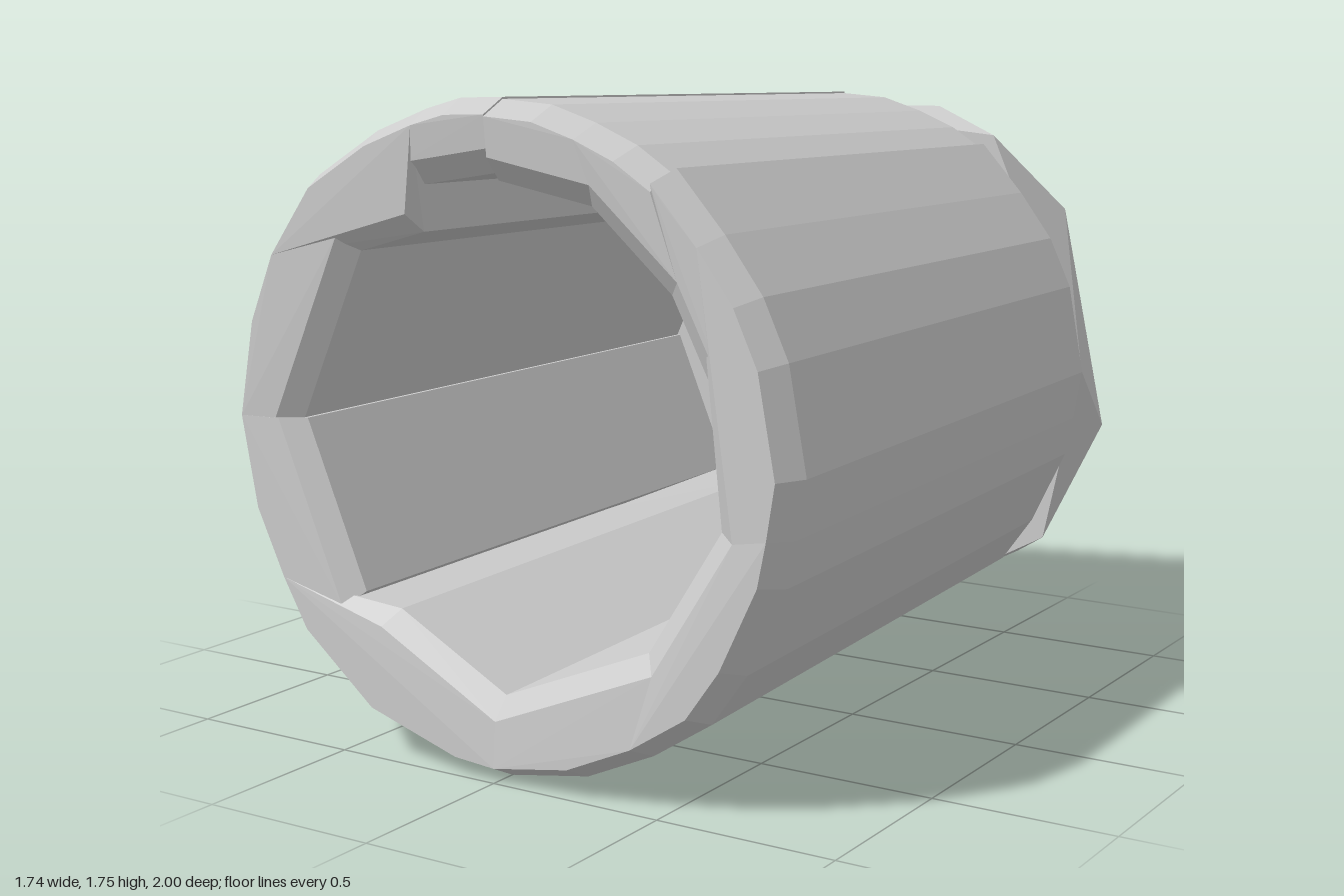
import * as THREE from 'three';
import { ConvexGeometry } from 'three/addons/geometries/ConvexGeometry.js';

const CENTRE = [0, 0.87];       // axis of the cup at its mouth
const BACK_CENTRE = [0.025, 0.885]; // axis where the wall meets the base
const TAPER = 0.928;
const WALL_BACK = -0.78;

// Move a profile point about the mouth axis and place it at depth z
function place([x, y], scale, z, to = CENTRE) {
  return new THREE.Vector3(
    to[0] + (x - CENTRE[0]) * scale,
    to[1] + (y - CENTRE[1]) * scale,
    z
  );
}

function hull(name, points, material) {
  const mesh = new THREE.Mesh(new ConvexGeometry(points), material);
  mesh.name = name;
  return mesh;
}

// One tapered stave of the wall, with a chamfered lip at the mouth
function stave(name, outer, inner, material) {
  const points = [];
  for (const p of outer) {
    points.push(place(p, 1, 0.92), place(p, 0.955, 1));
    points.push(place(p, TAPER, WALL_BACK, BACK_CENTRE));
  }
  for (const p of inner) {
    points.push(place(p, 1, 0.94), place(p, 1.09, 0.99));
    points.push(place(p, TAPER, WALL_BACK, BACK_CENTRE));
  }
  return hull(name, points, material);
}

export function createModel() {
  const group = new THREE.Group();
  group.name = 'cup';
  const material = new THREE.MeshStandardMaterial({ color: 0xcccccc, flatShading: true });

  // Wall staves around the mouth: outer arc, then inner edge
  const staves = [
    [[[0, 0], [0.24, 0.04], [0.44, 0.13]],
      [[0, 0.22], [0.44, 0.4]]],
    [[[0.44, 0.13], [0.61, 0.24], [0.71, 0.38], [0.82, 0.61], [0.845, 0.73]],
      [[0.44, 0.4], [0.65, 0.73]]],
    [[[0.845, 0.73], [0.87, 0.88], [0.82, 1.15], [0.75, 1.3], [0.645, 1.44]],
      [[0.65, 0.73], [0.65, 1.02]]],
    [[[0.645, 1.44], [0.55, 1.54], [0.51, 1.59]],
      [[0.65, 1.02], [0.51, 1.29]]],
    [[[0.51, 1.57], [0.4, 1.64], [0.28, 1.69]],
      [[0.51, 1.29], [0.28, 1.49]]],
    [[[0.28, 1.69], [0.15, 1.73], [0, 1.74]],
      [[0.28, 1.49], [0, 1.54]]],
    [[[0, 1.745], [-0.13, 1.74], [-0.24, 1.71]],
      [[0, 1.56], [-0.24, 1.52]]],
    [[[-0.24, 1.71], [-0.4, 1.65], [-0.6, 1.53], [-0.74, 1.34]],
      [[-0.24, 1.4], [-0.45, 1.34]]],
    [[[-0.74, 1.34], [-0.82, 1.15], [-0.87, 0.88]],
      [[-0.45, 1.34], [-0.66, 0.88]]],
    [[[-0.87, 0.88], [-0.82, 0.62], [-0.73, 0.43]],
      [[-0.65, 0.88], [-0.46, 0.43]]],
    [[[-0.73, 0.43], [-0.65, 0.29], [-0.42, 0.1], [-0.13, 0.01], [0, 0]],
      [[-0.34, 0.4], [0, 0.22]]],
  ];
  const wall = new THREE.Group();
  wall.name = 'wall';
  staves.forEach(([outer, inner], i) => {
    wall.add(stave(`wallStave${i + 1}`, outer, inner, material));
  });
  group.add(wall);

  // Faceted base: a ring against the wall and a smaller seven-sided end face
  const ring = [
    [-0.3, 1.655], [0.53, 1.58], [0.83, 0.9], [0.72, 0.38],
    [0.2, 0.09], [-0.48, 0.22], [-0.76, 0.58], [-0.78, 1.08],
  ];
  const end = [
    [0.24, 1.65], [0.67, 1.35], [0.81, 0.7], [0.54, 0.27],
    [-0.28, 0.14], [-0.68, 0.4], [-0.68, 1.28],
  ];
  const basePoints = [
    ...ring.map(([x, y]) => new THREE.Vector3(x, y, WALL_BACK)),
    ...end.map(([x, y]) => new THREE.Vector3(x, y, -1)),
  ];
  group.add(hull('base', basePoints, material));

  return group;
}
